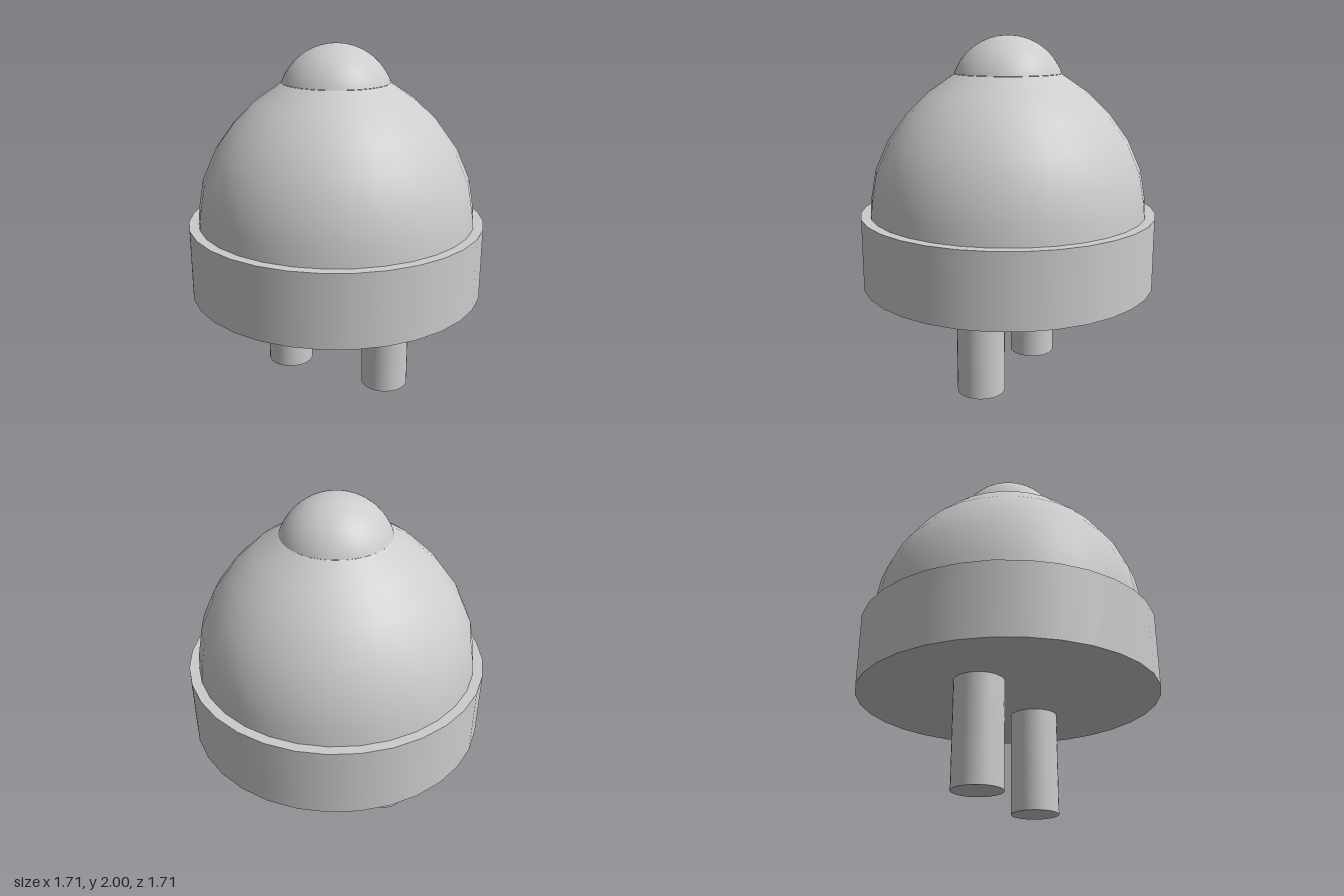
import * as THREE from 'three';

export function createModel() {
  const model = new THREE.Group();
  const grey = new THREE.MeshStandardMaterial({ color: 0xcccccc });
  grey.name = 'light grey';

  const add = (name, geometry, x = 0, y = 0) => {
    const mesh = new THREE.Mesh(geometry, grey);
    mesh.name = name;
    mesh.position.set(x, y, 0);
    model.add(mesh);
  };

  // Wide round collar
  add('collar', new THREE.CylinderGeometry(0.853, 0.853, 0.413, 32), 0, 0.7915);

  // Domed body, open under the cap
  const profile = [
    [0.797, 0.995], [0.788, 1.09], [0.759, 1.25], [0.683, 1.42],
    [0.577, 1.565], [0.45, 1.688], [0.303, 1.788],
  ].map(([r, y]) => new THREE.Vector2(r, y));
  add('dome', new THREE.LatheGeometry(profile, 32));

  // Small spherical cap on top: radius 0.326, cut at y = 1.79
  const capRadius = 0.326;
  const capAngle = Math.acos((1.79 - 2 + capRadius) / capRadius);
  add('cap', new THREE.SphereGeometry(capRadius, 64, 16, 0, Math.PI * 2, 0, capAngle), 0, 2 - capRadius);

  // Two round prongs that the model stands on
  for (const [side, name] of [[1, 'leftProng'], [-1, 'rightProng']]) {
    add(name, new THREE.CylinderGeometry(0.137, 0.137, 0.59, 32), side * 0.327, 0.295);
  }

  return model;
}
